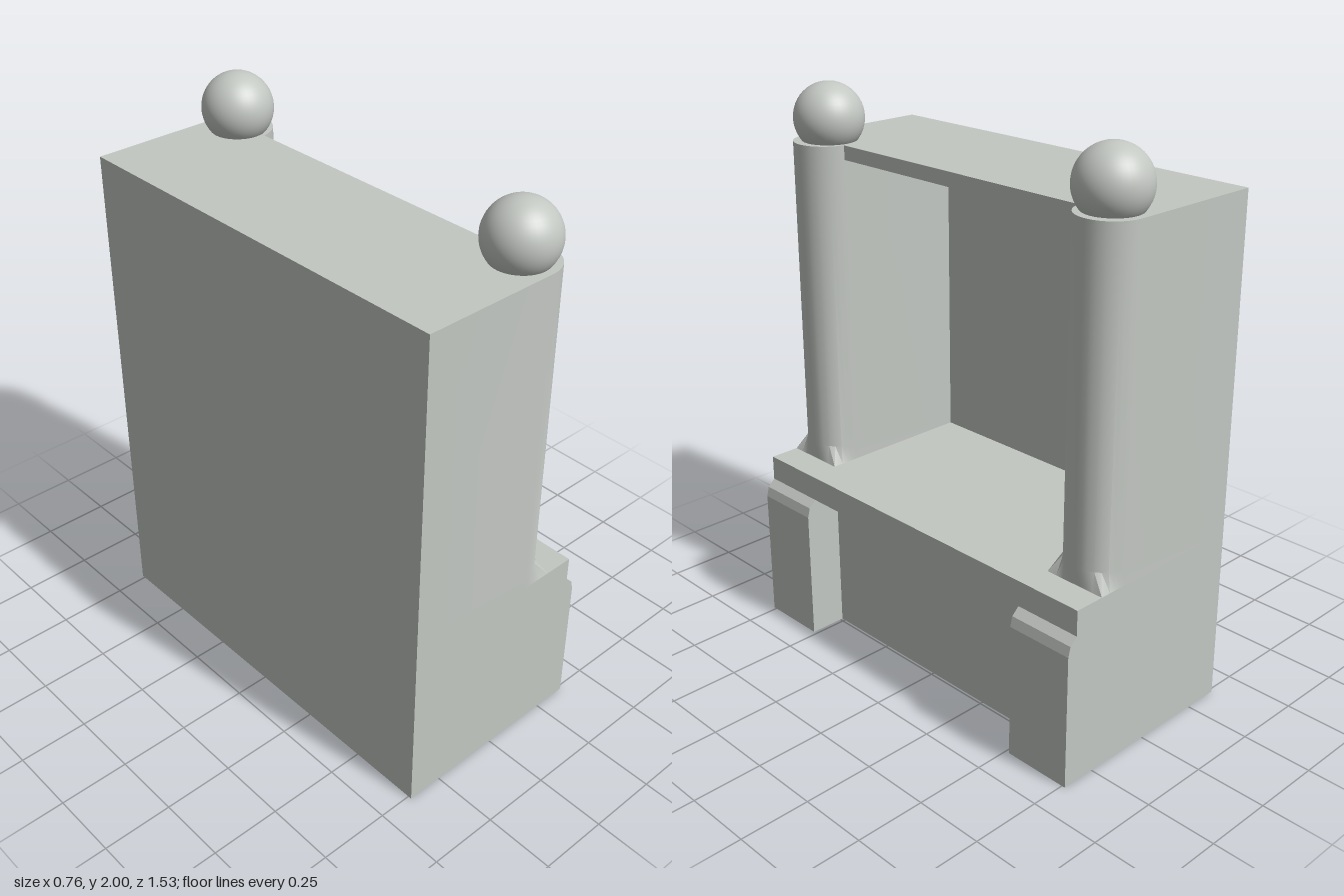
import * as THREE from 'three';
import { toCreasedNormals } from 'three/addons/utils/BufferGeometryUtils.js';

const HALF = 0.7625;   // half of the overall width
const BACK = -0.38;    // rear face
const SEAT = 0.63;     // seat height
const TOP = 1.8;       // top of the walls
const INNER = 0.535;   // inner face of the side walls

// Extrude an x-y profile from z0 to z1
function profileSlab(points, z0, z1) {
  const shape = new THREE.Shape(points.map(([x, y]) => new THREE.Vector2(x, y)));
  const geo = new THREE.ExtrudeGeometry(shape, { depth: z1 - z0, bevelEnabled: false });
  return geo.translate(0, 0, z0);
}

// Box given by its minimum and maximum corners
function boxBetween(x0, x1, y0, y1, z0, z1) {
  return new THREE.BoxGeometry(x1 - x0, y1 - y0, z1 - z0)
    .translate((x0 + x1) / 2, (y0 + y1) / 2, (z0 + z1) / 2);
}

// Side wall ending in a round pillar that flares into a square foot
function wallGeometry() {
  const r = (HALF - INNER) / 2, cx = 0.23 - r, n = 16;
  const ring = (y, square) => {
    const pts = [[BACK, y, -r]];
    for (let i = 0; i <= n; i++) {
      const t = -Math.PI / 2 + (Math.PI * i) / n;
      const c = Math.cos(t), s = Math.sin(t);
      const k = square ? r / Math.max(Math.abs(c), Math.abs(s)) : r;
      pts.push([cx + k * c, y, k * s]);
    }
    pts.push([BACK, y, r]);
    return pts;
  };
  const rings = [ring(SEAT, true), ring(SEAT + 0.06, false), ring(TOP, false)];
  const pos = [];
  const tri = (a, b, c) => pos.push(...a, ...b, ...c);
  const count = rings[0].length;
  for (let i = 0; i < count; i++) {
    const j = (i + 1) % count;
    for (let k = 0; k < 2; k++) {
      const lo = rings[k], hi = rings[k + 1];
      tri(lo[i], hi[i], hi[j]);
      tri(lo[i], hi[j], lo[j]);
    }
    tri([0, TOP, 0], rings[2][j], rings[2][i]);
  }
  const geo = new THREE.BufferGeometry();
  geo.setAttribute('position', new THREE.Float32BufferAttribute(pos, 3));
  return toCreasedNormals(geo, 0.6);
}

export function createModel() {
  const group = new THREE.Group();
  const stone = new THREE.MeshStandardMaterial({ color: 0xc3c7c2 });
  stone.name = 'pale stone';

  const add = (name, geo, x = 0, y = 0, z = 0) => {
    const mesh = new THREE.Mesh(geo, stone);
    mesh.name = name;
    mesh.position.set(x, y, z);
    group.add(mesh);
  };

  // Bench with a recessed front panel and a sloped underside below the seat edge
  add('bench', profileSlab([
    [BACK, 0], [0.24, 0], [0.24, 0.475], [0.34, 0.54], [0.34, SEAT], [BACK, SEAT],
  ], -HALF, HALF));

  // Back panel and roof between the side walls
  add('backPanel', boxBetween(BACK, -0.35, SEAT, TOP, -INNER, INNER));
  add('roof', boxBetween(-0.35, 0.13, 1.75, TOP, -INNER, INNER));

  // Front feet, side walls and ball finials, mirrored
  const footProfile = [
    [0.24, 0], [0.376, 0], [0.376, 0.48], [0.367, 0.515], [0.34, 0.54], [0.24, 0.475],
  ];
  const wall = wallGeometry();
  const ball = new THREE.SphereGeometry(0.123, 40, 24);
  for (const [side, s] of [['left', -1], ['right', 1]]) {
    const [z0, z1] = s > 0 ? [0.515, HALF] : [-HALF, -0.515];
    add(side + 'Foot', profileSlab(footProfile, z0, z1));
    add(side + 'PillarWall', wall, 0, 0, s * (HALF + INNER) / 2);
    add(side + 'Finial', ball, 0.105, 1.877, s * 0.642);
  }
  return group;
}
